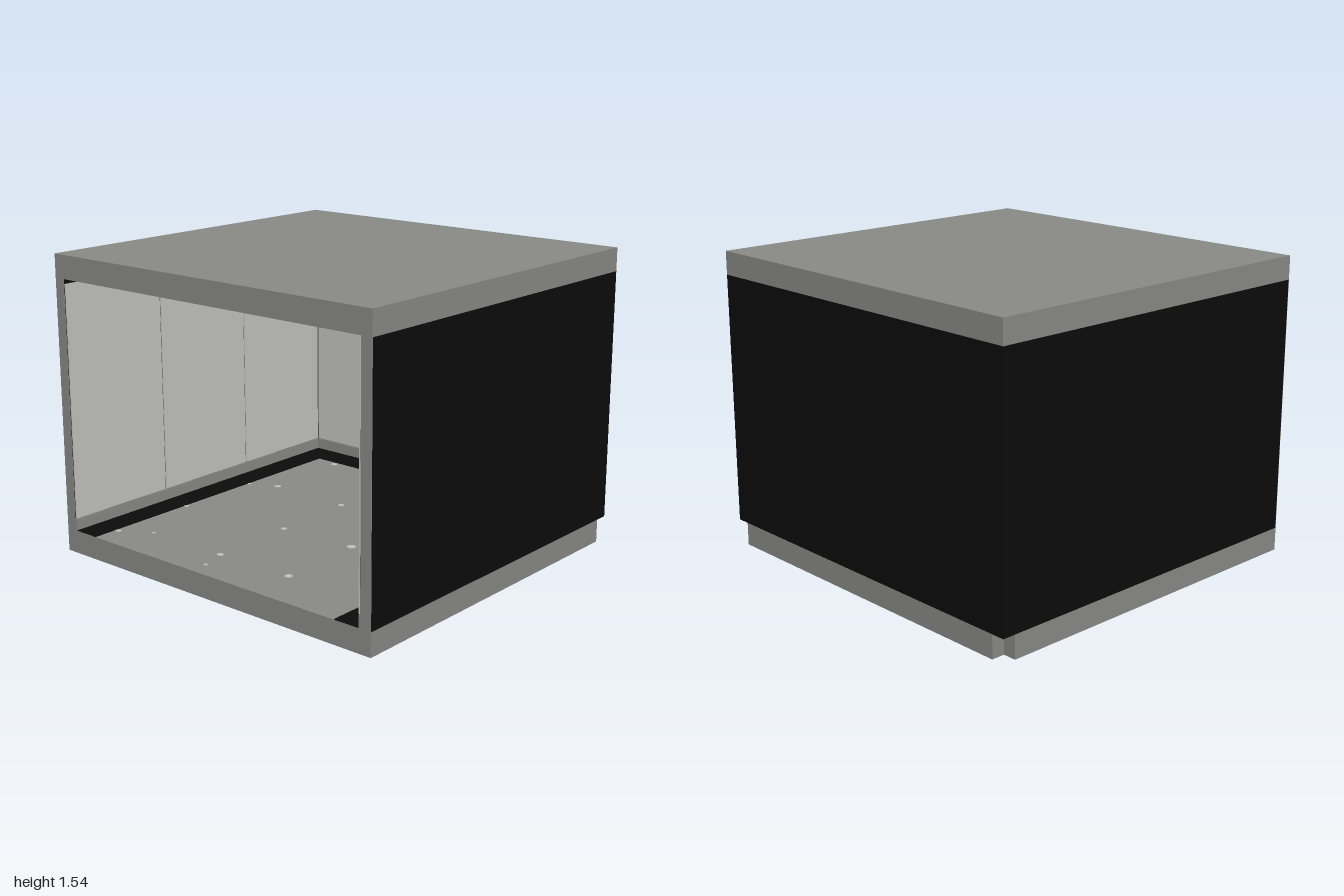
import * as THREE from 'three';

const mat = (name, color) => {
  const m = new THREE.MeshStandardMaterial({ color });
  m.name = name;
  return m;
};

export function createModel() {
  const group = new THREE.Group();
  const concrete = mat('concrete grey', 0x8a8a87);
  const black = mat('black', 0x0c0c0c);
  const panel = mat('pale panel', 0xc4c6c0);
  const seam = mat('seam grey', 0x5c5d5a);
  const chip = mat('light chip', 0xc0c0bc);

  // Box given by its minimum and maximum on each axis
  const box = (name, material, x0, x1, y0, y1, z0, z1) => {
    const mesh = new THREE.Mesh(new THREE.BoxGeometry(x1 - x0, y1 - y0, z1 - z0), material);
    mesh.position.set((x0 + x1) / 2, (y0 + y1) / 2, (z0 + z1) / 2);
    mesh.name = name;
    group.add(mesh);
    return mesh;
  };
  // Same box on the left (+x) and mirrored on the right
  const pair = (name, material, x0, x1, ...rest) => {
    box(name + 'Left', material, x0, x1, ...rest);
    box(name + 'Right', material, -x1, -x0, ...rest);
  };

  const F = 0.965, B = -0.965;      // front and back of the room
  const floorY = 0.12, ceilY = 1.42;

  // Floor slab, notched at both back corners, and roof slab
  box('floorSlab', concrete, -1, 1, 0, floorY, -0.895, F);
  box('floorSlabBack', concrete, -0.93, 0.93, 0, floorY, B, -0.895);
  box('roofSlab', concrete, -1, 1, ceilY, 1.54, B, F);

  // Black walls with grey front edges
  pair('sideWall', black, 0.94, 1, floorY, ceilY, B, F - 0.002);
  pair('wallFrontEdge', concrete, 0.94, 1, floorY, ceilY, F - 0.002, F);
  box('backWall', black, -0.94, 0.94, floorY, ceilY, B, -0.91);

  // Skirting around three sides
  pair('skirting', concrete, 0.929, 0.94, floorY, 0.18, -0.91, F - 0.001);
  box('skirtingBack', concrete, -0.929, 0.929, floorY, 0.18, -0.91, -0.899);

  // Seam backing behind the wall panels
  pair('seamBacking', seam, 0.936, 0.94, 0.18, 1.396, -0.91, F - 0.004);
  box('seamBackingBack', seam, -0.936, 0.936, 0.18, 1.396, -0.91, -0.906);

  // Three wall panels per side with narrow gaps
  const gap = 0.004;
  for (let i = 0; i < 3; i++) {
    const x = -0.93 + i * 0.62;
    box('backPanel' + i, panel, x + gap, x + 0.62 - gap, 0.185, 1.396, -0.906, -0.9);
    const z = -0.9 + i * 0.6215;
    pair('sidePanel' + i, panel, 0.93, 0.936, 0.185, 1.396, z + gap, z + 0.6215 - (i < 2 ? gap : 0.001));
  }

  // Black floor border on three sides
  pair('floorBorder', black, 0.79, 0.929, floorY, floorY + 0.003, -0.899, F - 0.001);
  box('floorBorderBack', black, -0.79, 0.79, floorY, floorY + 0.003, -0.899, -0.75);

  // Light chips scattered in the floor: x, z, radius
  const chips = [
    [-0.65, -0.72, 0.02], [-0.27, -0.56, 0.01], [-0.32, -0.74, 0.015], [-0.63, -0.215, 0.02],
    [-0.16, -0.205, 0.018], [-0.15, 0.26, 0.018], [-0.14, 0.73, 0.02], [0.3, 0.72, 0.022],
    [-0.1, 0.87, 0.012], [0.28, 0.235, 0.025], [-0.77, 0.83, 0.018], [-0.78, 0.34, 0.015],
    [-0.61, 0.735, 0.01], [-0.78, -0.147, 0.012], [0.4, 0.3, 0.012], [0.2, -0.42, 0.018],
    [0.45, -0.6, 0.015], [0.62, -0.2, 0.02], [0.68, 0.45, 0.015], [0.55, 0.1, 0.02]
  ];
  chips.forEach(([x, z, r], i) => {
    const c = new THREE.Mesh(new THREE.CylinderGeometry(r, r, 0.002, 6), chip);
    c.position.set(x, floorY + 0.001, z);
    c.rotation.y = i * 1.3;
    c.name = 'floorChip' + i;
    group.add(c);
  });

  // Ceiling lights
  for (const x of [-0.5, 0.5]) for (const z of [-0.45, 0.45]) {
    const lamp = new THREE.Mesh(new THREE.CylinderGeometry(0.033, 0.033, 0.008, 24), concrete);
    lamp.position.set(x, ceilY - 0.004, z);
    lamp.name = 'ceilingLight';
    group.add(lamp);
  }

  return group;
}
